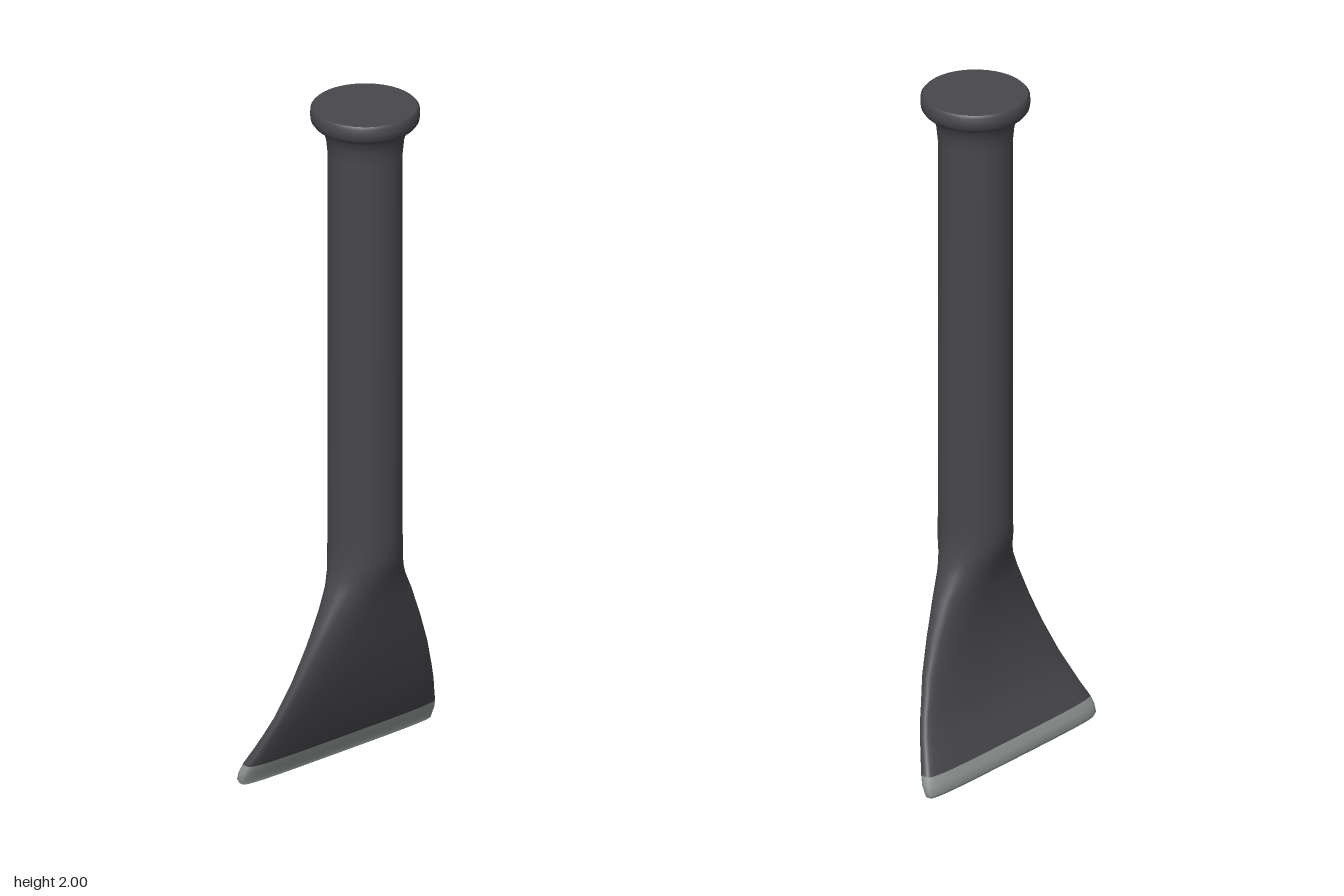
import * as THREE from 'three';

const SIDES = 40;

// Sections: [y, half width, back z, front z, squareness exponent]
const TIP = [
  [0, 0.344, -0.148, -0.104, 4],
  [0.012, 0.35, -0.154, -0.102, 4],
  [0.035, 0.35, -0.15, -0.09, 4],
  [0.06, 0.343, -0.141, -0.08, 4],
];
const BODY = [
  TIP[3],
  [0.1, 0.325, -0.122, -0.062, 3.8],
  [0.15, 0.305, -0.099, -0.043, 3.6],
  [0.2, 0.283, -0.081, -0.024, 3.4],
  [0.3, 0.242, -0.061, 0.01, 3],
  [0.4, 0.2, -0.055, 0.036, 2.7],
  [0.5, 0.156, -0.062, 0.061, 2.4],
  [0.56, 0.127, -0.077, 0.077, 2.2],
  [0.6, 0.113, -0.09, 0.09, 2.1],
  [0.65, 0.105, -0.105, 0.105, 2],
  [0.7, 0.104, -0.104, 0.104, 2],
  [1.86, 0.104, -0.104, 0.104, 2],
  [1.9, 0.108, -0.108, 0.108, 2],
  [1.93, 0.116, -0.116, 0.116, 2],
  [1.945, 0.13, -0.13, 0.13, 2],
];

// Skins a stack of superellipse sections, optionally closing the bottom
function loft(sections, closeBottom) {
  const pos = [], index = [];
  const addRing = ([y, w, back, front, n]) => {
    for (let j = 0; j < SIDES; j++) {
      const a = (j / SIDES) * Math.PI * 2;
      const curve = (v) => Math.sign(v) * Math.pow(Math.abs(v), 2 / n);
      pos.push(w * curve(Math.cos(a)), y,
        (back + front) / 2 + ((front - back) / 2) * curve(Math.sin(a)));
    }
  };
  sections.forEach(addRing);
  for (let i = 0; i < sections.length - 1; i++) {
    for (let j = 0; j < SIDES; j++) {
      const k = (j + 1) % SIDES;
      const a = i * SIDES + j, b = i * SIDES + k;
      index.push(a, a + SIDES, b, b, a + SIDES, b + SIDES);
    }
  }
  if (closeBottom) {
    // Separate ring keeps the lower edge crisp
    const start = pos.length / 3;
    addRing(sections[0]);
    pos.push(0, sections[0][0], (sections[0][2] + sections[0][3]) / 2);
    for (let j = 0; j < SIDES; j++) {
      index.push(start + SIDES, start + j, start + ((j + 1) % SIDES));
    }
  }
  const geo = new THREE.BufferGeometry();
  geo.setAttribute('position', new THREE.Float32BufferAttribute(pos, 3));
  geo.setIndex(index);
  geo.computeVertexNormals();
  return geo;
}

export function createModel() {
  const group = new THREE.Group();
  group.name = 'flaredNozzle';
  const dark = new THREE.MeshStandardMaterial({ color: 0x48474b });
  dark.name = 'dark plastic';
  const grey = new THREE.MeshStandardMaterial({ color: 0x939998 });
  grey.name = 'grey tip';

  const add = (name, geo, mat) => {
    const mesh = new THREE.Mesh(geo, mat);
    mesh.name = name;
    group.add(mesh);
  };

  // Round tube that flattens and sweeps back into a wide blade
  add('tubeAndFlare', loft(BODY, false), dark);
  // Pale edge along the blade
  add('tip', loft(TIP, true), grey);

  // End collar with a rounded underside
  const rim = [[0.13, 1.945], [0.142, 1.949], [0.15, 1.96], [0.152, 1.975], [0.151, 1.993], [0.145, 2]];
  add('collar', new THREE.LatheGeometry(rim.map(([r, y]) => new THREE.Vector2(r, y)), SIDES), dark);

  // Flat end face
  const cap = new THREE.CircleGeometry(0.145, SIDES);
  cap.rotateX(-Math.PI / 2);
  cap.translate(0, 2, 0);
  add('endCap', cap, dark);

  return group;
}
